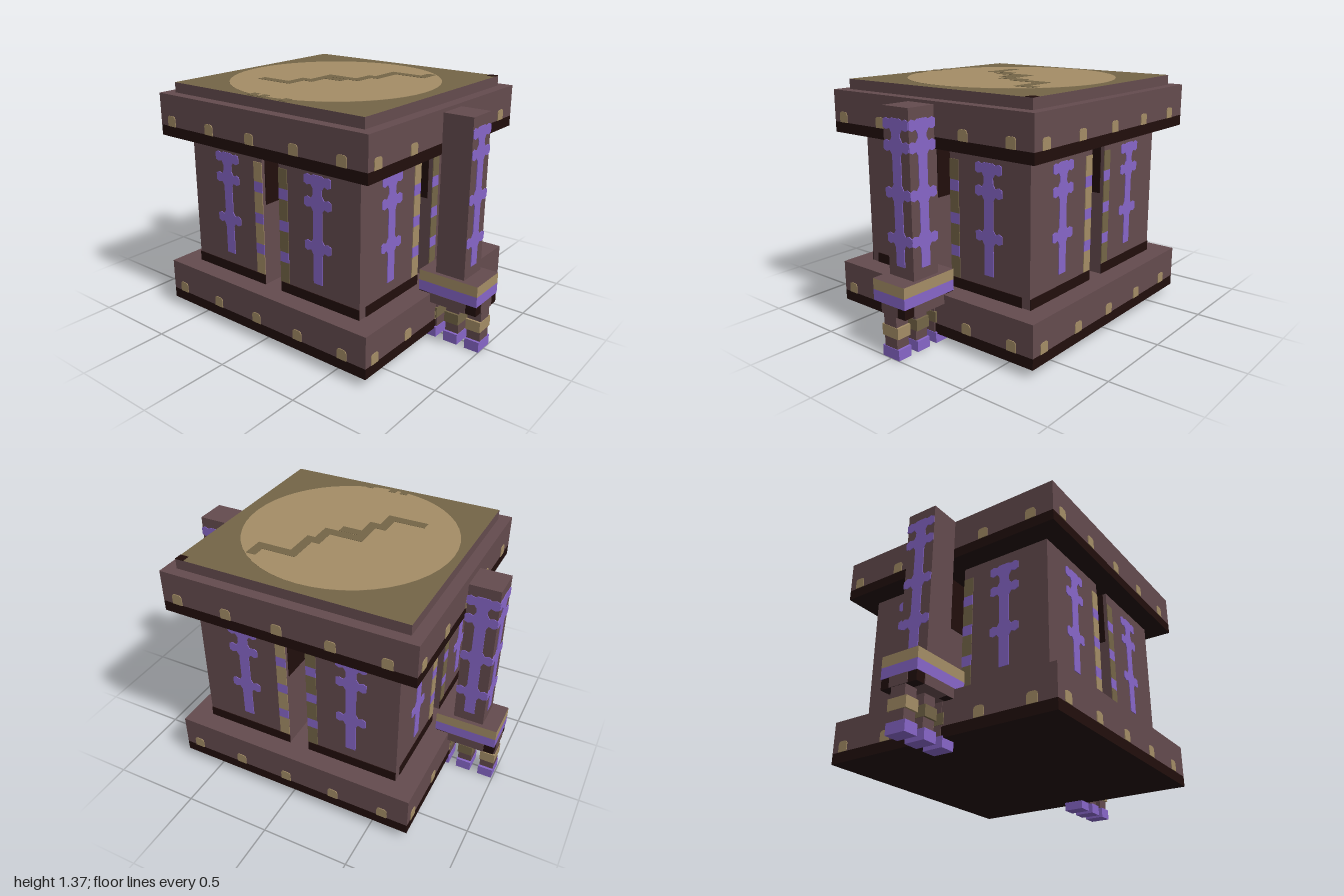
import * as THREE from 'three';

const mat = (name, color) => {
  const m = new THREE.MeshStandardMaterial({ color });
  m.name = name;
  return m;
};

export function createModel() {
  const stone = mat('maroon stone', 0x644b4e);
  const dark = mat('dark trim', 0x210e0c);
  const tan = mat('tan', 0xa48d66);
  const olive = mat('olive', 0x746547);
  const purple = mat('purple glow', 0x8766c8);

  const model = new THREE.Group();
  model.name = 'stoneGolemShrine';

  // Box given by its min and max corners
  function box(parent, name, material, x0, x1, y0, y1, z0, z1) {
    const mesh = new THREE.Mesh(new THREE.BoxGeometry(x1 - x0, y1 - y0, z1 - z0), material);
    mesh.position.set((x0 + x1) / 2, (y0 + y1) / 2, (z0 + z1) / 2);
    mesh.name = name;
    parent.add(mesh);
    return mesh;
  }

  // Thin plate lying in the xy plane, standing just proud of depth z
  function plate(parent, name, material, shape, x, y, z) {
    const geo = new THREE.ExtrudeGeometry(shape, { depth: 0.004, bevelEnabled: false, curveSegments: 6 });
    const mesh = new THREE.Mesh(geo, material);
    mesh.position.set(x, y, z);
    mesh.name = name;
    parent.add(mesh);
    return mesh;
  }

  // Mirrored rune: a stem crossed by bars with small chamfers
  function runeShape(bottom, top, bars, half) {
    const stem = 0.03, c = 0.014;
    const side = [[stem, bottom]];
    for (const [a, b] of bars) {
      side.push([stem, a - c], [stem + c, a + 0.008], [half - 0.02, a], [half, a + 0.01],
        [half, b - 0.01], [half - 0.02, b], [stem + c, b - 0.008], [stem, Math.min(b + c, top)]);
    }
    const all = [...side, ...side.map(([x, y]) => [-x, y]).reverse()];
    return new THREE.Shape(all.map(([x, y]) => new THREE.Vector2(x, y)));
  }
  const wallRune = runeShape(0.41, 1.01, [[0.59, 0.65], [0.83, 0.89], [0.95, 1.01]], 0.088);
  const armRune = runeShape(0.475, 1.24, [[0.59, 0.65], [0.83, 0.89], [1.07, 1.13], [1.18, 1.24]], 0.089);

  // Arched stud
  const stud = new THREE.Shape();
  stud.moveTo(-0.03, 0);
  stud.lineTo(0.03, 0);
  stud.lineTo(0.03, 0.04);
  stud.quadraticCurveTo(0.03, 0.06, 0.01, 0.06);
  stud.lineTo(-0.01, 0.06);
  stud.quadraticCurveTo(-0.03, 0.06, -0.03, 0.04);

  // Base and top slabs with dark lower bands
  for (const [name, y] of [['base', 0.05], ['cornice', 1.07]]) {
    box(model, name + 'Band', dark, -0.72, 0.72, y, y + 0.06, -0.705, 0.705);
    box(model, name + 'Slab', stone, -0.72, 0.72, y + 0.06, y + 0.24, -0.705, 0.705);
  }

  // Four corner pillars, dark inside the upper gaps
  for (const sx of [-1, 1]) for (const sz of [-1, 1]) {
    const span = (s, a, b) => (s > 0 ? [a, b] : [-b, -a]);
    box(model, 'pillar', stone, ...span(sx, 0.06, 0.595), 0.29, 1.07, ...span(sz, 0.06, 0.59));
    box(model, 'pillarInnerShade', dark, ...span(sx, 0.056, 0.06), 0.76, 1.07, ...span(sz, 0.06, 0.57));
    box(model, 'pillarInnerShade', dark, ...span(sx, 0.06, 0.57), 0.76, 1.07, ...span(sz, 0.056, 0.06));
  }

  // Decoration repeated on the four sides
  for (let i = 0; i < 4; i++) {
    const odd = i % 2 === 1;
    const face = new THREE.Group();
    face.name = 'sideDecoration';
    face.rotation.y = i * Math.PI / 2;
    model.add(face);
    const slabD = odd ? 0.72 : 0.705, wallD = odd ? 0.595 : 0.59;
    for (const y of [0.11, 1.13]) {
      for (let k = 0; k < 5; k++) plate(face, 'stud', tan, stud, -0.63 + 0.3 * k, y, slabD);
    }
    for (const s of [-1, 1]) {
      plate(face, 'wallRune', purple, wallRune, s * 0.325, 0, wallD);
      const strip = (name, m, a, b, y0, y1) =>
        box(face, name, m, Math.min(s * a, s * b), Math.max(s * a, s * b), y0, y1, wallD, wallD + 0.004);
      strip('wallFoot', dark, 0.06, odd ? 0.54 : 0.595, 0.29, 0.347);
      // Edge stripe of alternating colours
      const cuts = [0.35, 0.47, 0.53, 0.65, 0.71, 0.83, 0.89, 1.0];
      for (let k = 0; k < 7; k++) {
        strip('edgeStripe', k % 2 ? purple : s < 0 ? tan : olive, 0.06, 0.12, cuts[k], cuts[k + 1]);
      }
    }
  }

  // Lid with an olive top, round tan inlay and zigzag crack
  box(model, 'lid', [stone, stone, olive, stone, stone, stone], -0.655, 0.655, 1.31, 1.367, -0.645, 0.645);
  const disc = new THREE.Mesh(new THREE.CylinderGeometry(0.595, 0.595, 0.003, 48), tan);
  disc.name = 'lidDisc';
  disc.position.set(-0.015, 1.367, 0.02);
  model.add(disc);
  const path = [[0.34, -0.4], [0.34, -0.33], [0.145, -0.33], [0.145, -0.15], [0.1, -0.15], [0.1, -0.03],
    [-0.09, -0.03], [-0.09, 0.03], [0.02, 0.03], [-0.09, 0.03], [-0.09, 0.145], [-0.15, 0.145], [-0.15, 0.265], [-0.33, 0.265]];
  const w = 0.028;
  path.slice(1).forEach(([x, z], k) => {
    const [px, pz] = path[k];
    box(model, 'lidCrack', olive, Math.min(x, px) - w, Math.max(x, px) + w, 1.367, 1.37,
      Math.min(z, pz) - w, Math.max(z, pz) + w);
  });
  for (const x of [-0.08, -0.01, 0.14]) box(model, 'lidNotch', olive, x - 0.022, x + 0.022, 1.367, 1.37, 0.58, 0.635);
  box(model, 'lidChip', dark, 0.605, 0.655, 1.366, 1.369, -0.645, -0.6);

  // Two hanging arms, mirrored by position
  for (const s of [-1, 1]) {
    const arm = new THREE.Group();
    arm.name = s > 0 ? 'leftArm' : 'rightArm';
    arm.position.x = s * 0.82;
    model.add(arm);
    box(arm, 'armColumn', stone, -0.086, 0.086, 0.415, 1.297, -0.09, 0.09);
    // Runes on the outer and back faces
    const outer = plate(arm, 'armRune', purple, armRune, s * 0.086, 0, 0);
    outer.rotation.y = s * Math.PI / 2;
    const back = plate(arm, 'armRune', purple, armRune, 0, 0, -0.09);
    back.rotation.y = Math.PI;
    // Two-tone cuff
    box(arm, 'cuffTop', [tan, tan, stone, tan, tan, tan], -0.175, 0.18, 0.355, 0.415, -0.115, 0.115);
    box(arm, 'cuffBottom', purple, -0.175, 0.18, 0.295, 0.355, -0.115, 0.115);
    // Palm
    box(arm, 'palm', dark, -0.172, 0.177, 0.24, 0.295, -0.112, 0.112);
    box(arm, 'palmPanel', stone, -0.115, 0.115, 0.24, 0.295, -0.116, 0.116);
    box(arm, 'palmEnd', stone, -0.176, 0.18, 0.24, 0.295, -0.058, 0.058);
    // Three fingers
    for (const x of [-0.131, 0.004, 0.137]) {
      box(arm, 'finger', stone, x - 0.04, x + 0.04, 0.05, 0.24, -0.045, 0.045);
      box(arm, 'fingerRing', s * x > 0.1 ? tan : olive, x - 0.043, x + 0.043, 0.118, 0.18, -0.058, 0.058);
      box(arm, 'fingerTip', purple, x - 0.043, x + 0.043, 0, 0.06, -0.06, 0.06);
    }
  }
  return model;
}
